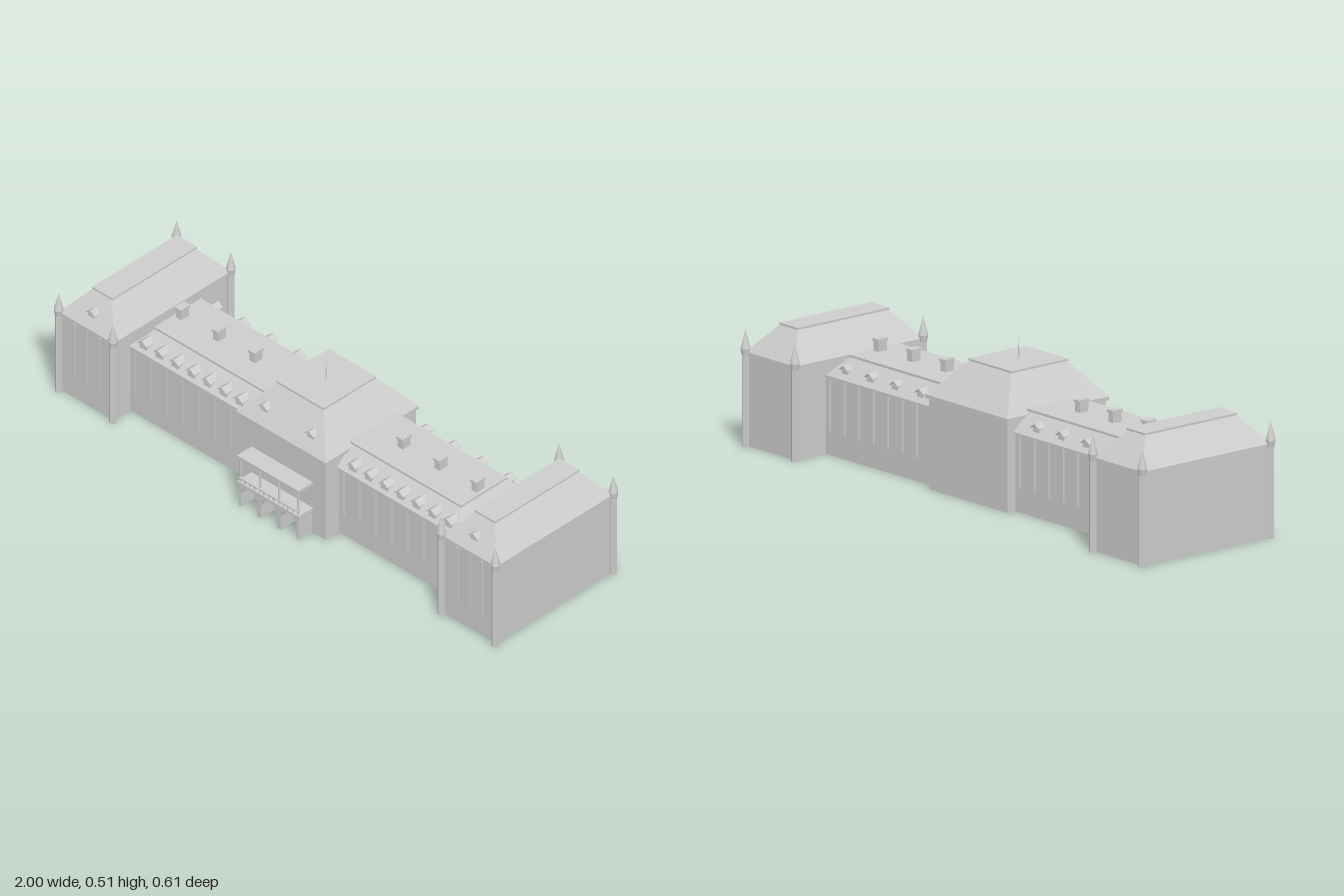
import * as THREE from 'three';

const stone = new THREE.MeshStandardMaterial({ color: 0xcccccc, side: THREE.DoubleSide });
stone.name = 'pale grey stone';

function add(parent, name, geometry) {
  const mesh = new THREE.Mesh(geometry, stone);
  mesh.name = name;
  parent.add(mesh);
  return mesh;
}

// Box given by its limits on each axis
function block(parent, name, [x0, x1], [y0, y1], [z0, z1]) {
  const g = new THREE.BoxGeometry(x1 - x0, y1 - y0, z1 - z0);
  g.translate((x0 + x1) / 2, (y0 + y1) / 2, (z0 + z1) / 2);
  return add(parent, name, g);
}

// Four walls, open above and below: a box without its top and bottom faces
function walls(parent, name, x, y, z) {
  const g = block(parent, name, x, y, z).geometry;
  const index = Array.from(g.index.array);
  index.splice(12, 12);
  g.setIndex(index);
  g.clearGroups();
}

// Hipped roof: a box whose top corners are moved to a smaller rectangle
function hip(parent, name, bottom, top, [y0, y1]) {
  const g = new THREE.BoxGeometry(1, 1, 1);
  const p = g.attributes.position;
  for (let i = 0; i < p.count; i++) {
    const up = p.getY(i) > 0;
    const r = up ? top : bottom;
    p.setXYZ(i, p.getX(i) < 0 ? r[0] : r[1], up ? y1 : y0, p.getZ(i) < 0 ? r[2] : r[3]);
  }
  g.computeVertexNormals();
  return add(parent, name, g);
}

function polygon(points) {
  return new THREE.Shape(points.map(([x, y]) => new THREE.Vector2(x, y)));
}

function extrude(shape, depth, curveSegments = 12) {
  return new THREE.ExtrudeGeometry(shape, { depth, bevelEnabled: false, curveSegments });
}

// Gabled dormer; its eaves end at z and it runs back into the roof
function dormer(parent, x, y, z, { h = 0.02, depth = 0.055, back = false } = {}) {
  const group = new THREE.Group();
  group.name = 'dormer';
  const w = 0.015;
  const e = 0.021;
  const body = polygon([[-w, 0], [w, 0], [w, h], [0, h + 0.013], [-w, h]]);
  add(group, 'dormerBody', extrude(body, depth - 0.006)).position.z = -depth;
  const cover = polygon([[-e, h - 0.003], [0, h + 0.011], [e, h - 0.003],
    [e, h], [0, h + 0.015], [-e, h]]);
  add(group, 'dormerRoof', extrude(cover, depth)).position.z = -depth;
  group.position.set(x, y, z);
  if (back) group.rotation.y = Math.PI;
  parent.add(group);
}

// Slim six-sided corner turret with a flared pointed cap
function turret(parent, x, z) {
  const group = new THREE.Group();
  group.name = 'cornerTurret';
  const shaft = new THREE.CylinderGeometry(0.0127, 0.0127, 0.31, 6).toNonIndexed();
  shaft.computeVertexNormals();
  add(group, 'turretShaft', shaft).position.y = 0.155;
  const flare = new THREE.CylinderGeometry(0.0163, 0.0127, 0.022, 12);
  add(group, 'turretFlare', flare).position.y = 0.317;
  add(group, 'turretCap', new THREE.ConeGeometry(0.0163, 0.065, 12)).position.y = 0.3605;
  group.position.set(x, 0, z);
  parent.add(group);
}

function endPavilion(cx) {
  const group = new THREE.Group();
  group.name = 'endPavilion';
  const span = (half) => [cx - half, cx + half];
  walls(group, 'pavilionWalls', span(0.1185), [0, 0.306], [-0.279, 0.252]);
  block(group, 'pavilionCornice', span(0.123), [0.305, 0.317], [-0.285, 0.257]);
  hip(group, 'pavilionRoof', [...span(0.124), -0.287, 0.259], [...span(0.043), -0.206, 0.18], [0.317, 0.411]);
  block(group, 'roofCap', span(0.046), [0.41, 0.417], [-0.209, 0.183]);
  for (const x of span(0.1225)) for (const z of [0.26, -0.287]) turret(group, x, z);
  dormer(group, cx, 0.346, 0.24, { h: 0.015, depth: 0.06 });
  // Front pilasters
  for (const dx of [-0.056, 0, 0.056])
    block(group, 'pilaster', [cx + dx - 0.003, cx + dx + 0.003], [0.08, 0.3], [0.251, 0.256]);
  return group;
}

function wing(s) {
  const group = new THREE.Group();
  group.name = 'wing';
  const range = (a, b) => (s > 0 ? [a, b] : [-b, -a]);
  walls(group, 'wingWalls', range(0.195, 0.745), [0, 0.264], [-0.15, 0.175]);
  block(group, 'wingCornice', range(0.195, 0.742), [0.26, 0.267], [-0.158, 0.184]);
  hip(group, 'wingRoof', [...range(0.18, 0.738), -0.157, 0.183], [...range(0.18, 0.688), -0.094, 0.115], [0.267, 0.328]);
  block(group, 'wingRoofCap', range(0.18, 0.692), [0.326, 0.334], [-0.097, 0.118]);
  for (let i = 0; i < 7; i++) dormer(group, s * (0.256 + i * 0.072), 0.277, 0.181);
  for (let i = 0; i < 4; i++) dormer(group, s * (0.288 + i * 0.125), 0.277, -0.148, { back: true });
  // Pilasters on both long walls
  for (let i = 0; i < 8; i++) {
    const x = s * (0.22 + i * 0.072);
    block(group, 'pilaster', [x - 0.003, x + 0.003], [0.08, 0.262], [0.174, 0.18]);
    block(group, 'pilaster', [x - 0.003, x + 0.003], [0.08, 0.262], [-0.155, -0.149]);
  }
  // Chimneys on the flat ridge
  for (const x of [0.334, 0.5, 0.667]) {
    const c = s * x;
    block(group, 'chimney', [c - 0.012, c + 0.012], [0.33, 0.37], [-0.004, 0.032]);
    block(group, 'chimneyCap', [c - 0.014, c + 0.014], [0.367, 0.376], [-0.008, 0.036]);
  }
  return group;
}

function centre() {
  const group = new THREE.Group();
  group.name = 'centralPavilion';
  walls(group, 'centralWalls', [-0.196, 0.196], [0, 0.308], [-0.183, 0.236]);
  block(group, 'centralCornice', [-0.203, 0.203], [0.305, 0.317], [-0.19, 0.243]);
  hip(group, 'centralRoof', [-0.203, 0.203, -0.19, 0.243], [-0.103, 0.103, -0.088, 0.148], [0.317, 0.434]);
  block(group, 'centralRoofCap', [-0.107, 0.107], [0.433, 0.44], [-0.09, 0.153]);
  for (const x of [-0.105, 0.105]) dormer(group, x, 0.352, 0.22, { h: 0.015 });
  const spire = new THREE.CylinderGeometry(0.0005, 0.003, 0.069, 8);
  add(group, 'spire', spire).position.set(0, 0.473, 0.032);
  return group;
}

function porch() {
  const group = new THREE.Group();
  group.name = 'porch';
  // Arcade with three open arches
  const s = new THREE.Shape();
  s.moveTo(-0.134, 0);
  for (const c of [-0.089, 0, 0.089]) {
    s.lineTo(c - 0.036, 0);
    s.lineTo(c - 0.036, 0.05);
    s.absarc(c, 0.05, 0.036, Math.PI, 0, true);
    s.lineTo(c + 0.036, 0);
  }
  s.lineTo(0.134, 0);
  s.lineTo(0.134, 0.095);
  s.lineTo(-0.134, 0.095);
  s.closePath();
  add(group, 'arcade', extrude(s, 0.062)).position.z = 0.236;
  block(group, 'balconyFloor', [-0.139, 0.139], [0.092, 0.1], [0.236, 0.303]);
  block(group, 'balconyRail', [-0.134, 0.134], [0.113, 0.118], [0.291, 0.302]);
  block(group, 'canopy', [-0.139, 0.139], [0.193, 0.203], [0.236, 0.303]);
  for (let i = 0; i < 4; i++) {
    const x = -0.129 + i * 0.086;
    const column = new THREE.CylinderGeometry(0.0045, 0.0045, 0.094, 8);
    add(group, 'balconyColumn', column).position.set(x, 0.147, 0.294);
    // Balusters between the columns
    for (let j = 1; j < 4 && i < 3; j++) {
      const b = add(group, 'baluster', new THREE.CylinderGeometry(0.004, 0.004, 0.014, 6));
      b.position.set(x + j * 0.0215, 0.107, 0.2965);
    }
  }
  return group;
}

export function createModel() {
  const model = new THREE.Group();
  model.name = 'palace';
  model.add(centre(), porch());
  for (const s of [1, -1]) model.add(wing(s), endPavilion(s * 0.8635));
  return model;
}
